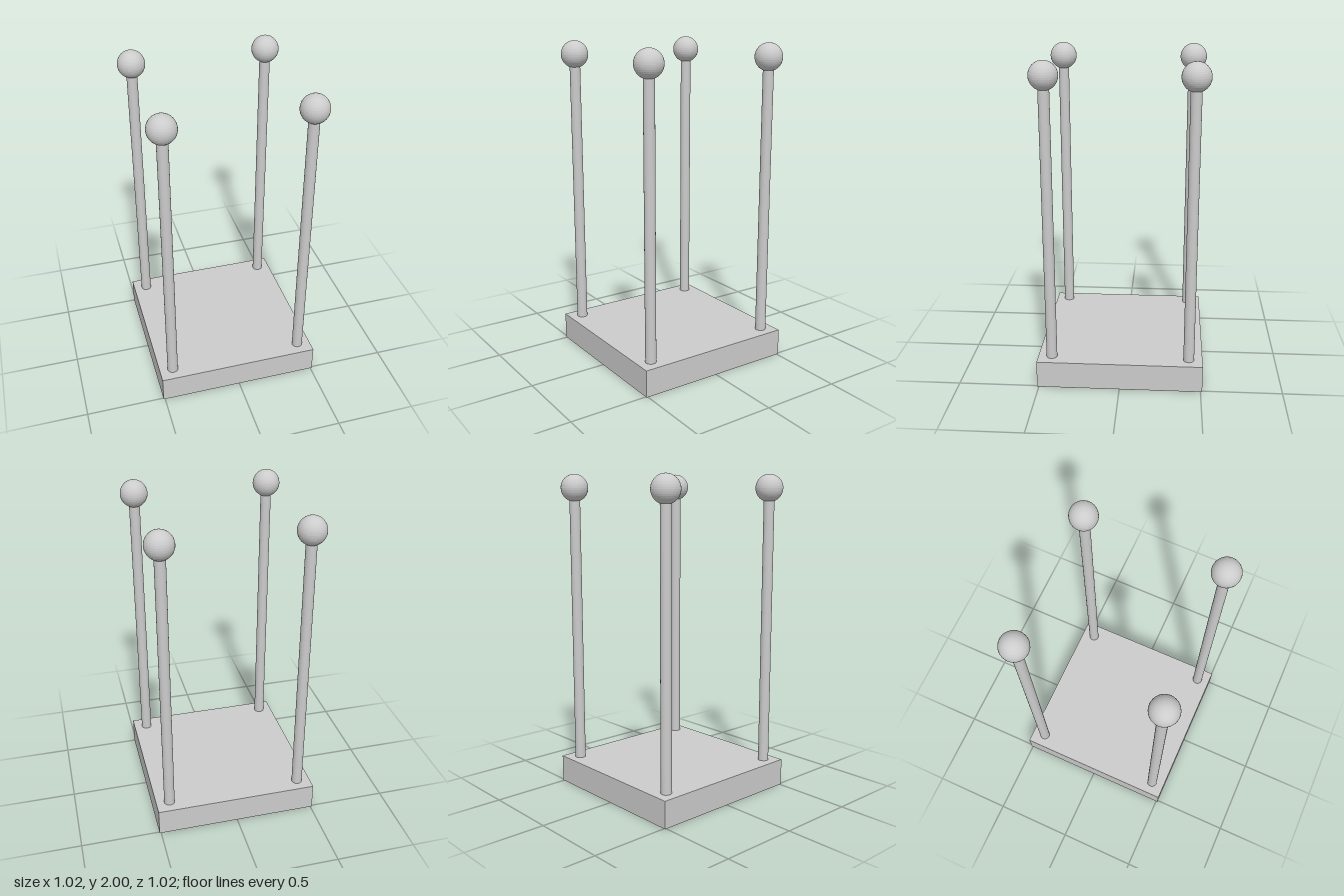
import * as THREE from 'three';

export function createModel() {
  const model = new THREE.Group();
  const material = new THREE.MeshStandardMaterial({ color: 0xcccccc, flatShading: true });

  const baseWidth = 1.02, baseHeight = 0.17;
  const ballRadius = 0.085, ballY = 2 - ballRadius;
  const postRadius = 0.033, postInset = 0.425;

  const add = (name, geometry, x, y, z) => {
    const mesh = new THREE.Mesh(geometry, material);
    mesh.name = name;
    mesh.position.set(x, y, z);
    model.add(mesh);
  };

  // Square base slab
  add('base', new THREE.BoxGeometry(baseWidth, baseHeight, baseWidth), 0, baseHeight / 2, 0);

  // Four corner posts, each topped with a ball
  const postHeight = ballY - baseHeight;
  const postGeometry = new THREE.CylinderGeometry(postRadius, postRadius, postHeight, 32);
  const ballGeometry = new THREE.SphereGeometry(ballRadius, 32, 20);
  for (const [sideX, xName] of [[1, 'Left'], [-1, 'Right']]) {
    for (const [sideZ, zName] of [[1, 'front'], [-1, 'back']]) {
      const x = sideX * postInset, z = sideZ * postInset;
      add(`${zName}${xName}Post`, postGeometry, x, baseHeight + postHeight / 2, z);
      add(`${zName}${xName}Ball`, ballGeometry, x, ballY, z);
    }
  }

  return model;
}
